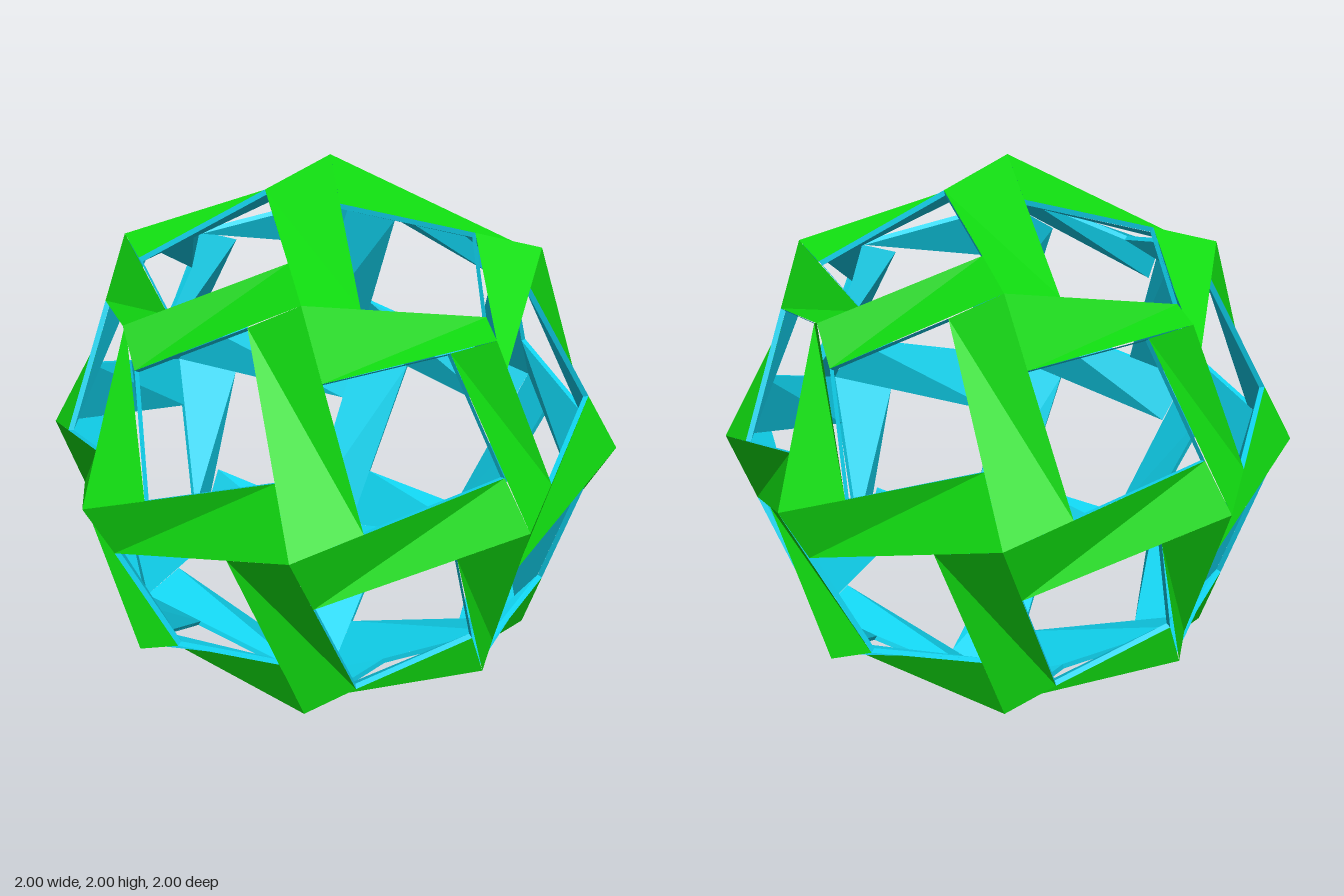
import * as THREE from 'three';

const v = (x, y, z) => new THREE.Vector3(x, y, z);
const THICK = 0.98; // inner shell scale

// Flat-shaded geometry from a list of corner triples
function facets(tris) {
  const geo = new THREE.BufferGeometry().setFromPoints(tris.flat());
  geo.computeVertexNormals();
  return geo;
}

export function createModel() {
  const green = new THREE.MeshStandardMaterial({ color: 0x10dc10, flatShading: true });
  const cyan = new THREE.MeshStandardMaterial({ color: 0x10d4f0, flatShading: true });

  // Corners of one kite: four-fold, two-fold and three-fold vertices of the ball
  const h = Math.SQRT1_2, t = 1 / Math.sqrt(3);
  const four = v(0, 0, 1), two = v(h, 0, h), three = v(t, t, t);

  // Pinwheel hole inside the kite, counter-clockwise from outside
  const onKite = (x, y) => v(x, y, 1 - (x + y) / (1 + Math.SQRT2));
  const e = onKite(0.21, 0.057), b = onKite(0.62, 0.168);
  const c = v(0.44, 0.54, 0.605), d = onKite(0.07, 0.487);
  const hole = [e, b, c, d];

  // Two twisted bars, each a quad folded along its short-corner diagonal
  const bars = [
    [four, v(e.y, -e.x, e.z), two, b],
    [two, v(d.z, d.x, d.y), three, c],
  ];
  const outer = bars.flatMap(([p, q, r, s]) => [[p, q, s], [q, r, s]]);
  const shrink = (p) => p.clone().multiplyScalar(THICK);
  const inner = outer.map(([p, q, r]) => [shrink(p), shrink(r), shrink(q)]);

  // Wall around the hole joining the two shells
  const rim = hole.flatMap((p, i) => {
    const q = hole[(i + 1) % 4], pi = shrink(p), qi = shrink(q);
    return [[p, q, qi], [p, qi, pi]];
  });

  const parts = [
    ['outerBars', facets(outer), green],
    ['innerLining', facets(inner), cyan],
    ['holeRim', facets(rim), cyan],
  ];

  // Repeat over the 24 rotations of a cube
  const ball = new THREE.Group();
  ball.name = 'wovenBall';
  const axes = [v(1, 0, 0), v(0, 1, 0), v(0, 0, 1)];
  const signs = [[1, 1, 1], [1, -1, -1], [-1, 1, -1], [-1, -1, 1]];
  for (let cycle = 0; cycle < 3; cycle++) {
    for (const sign of signs) {
      for (const spin of [0, Math.PI / 2]) {
        const col = (k) => axes[(k + cycle) % 3].clone().multiplyScalar(sign[k]);
        const turn = new THREE.Matrix4().makeBasis(col(0), col(1), col(2))
          .multiply(new THREE.Matrix4().makeRotationZ(spin));
        const unit = new THREE.Group();
        unit.name = 'kiteUnit';
        for (const [name, geo, mat] of parts) {
          const mesh = new THREE.Mesh(geo, mat);
          mesh.name = name;
          unit.add(mesh);
        }
        unit.applyMatrix4(turn);
        ball.add(unit);
      }
    }
  }
  ball.position.y = 1;

  const model = new THREE.Group();
  model.name = 'model';
  model.add(ball);
  return model;
}
